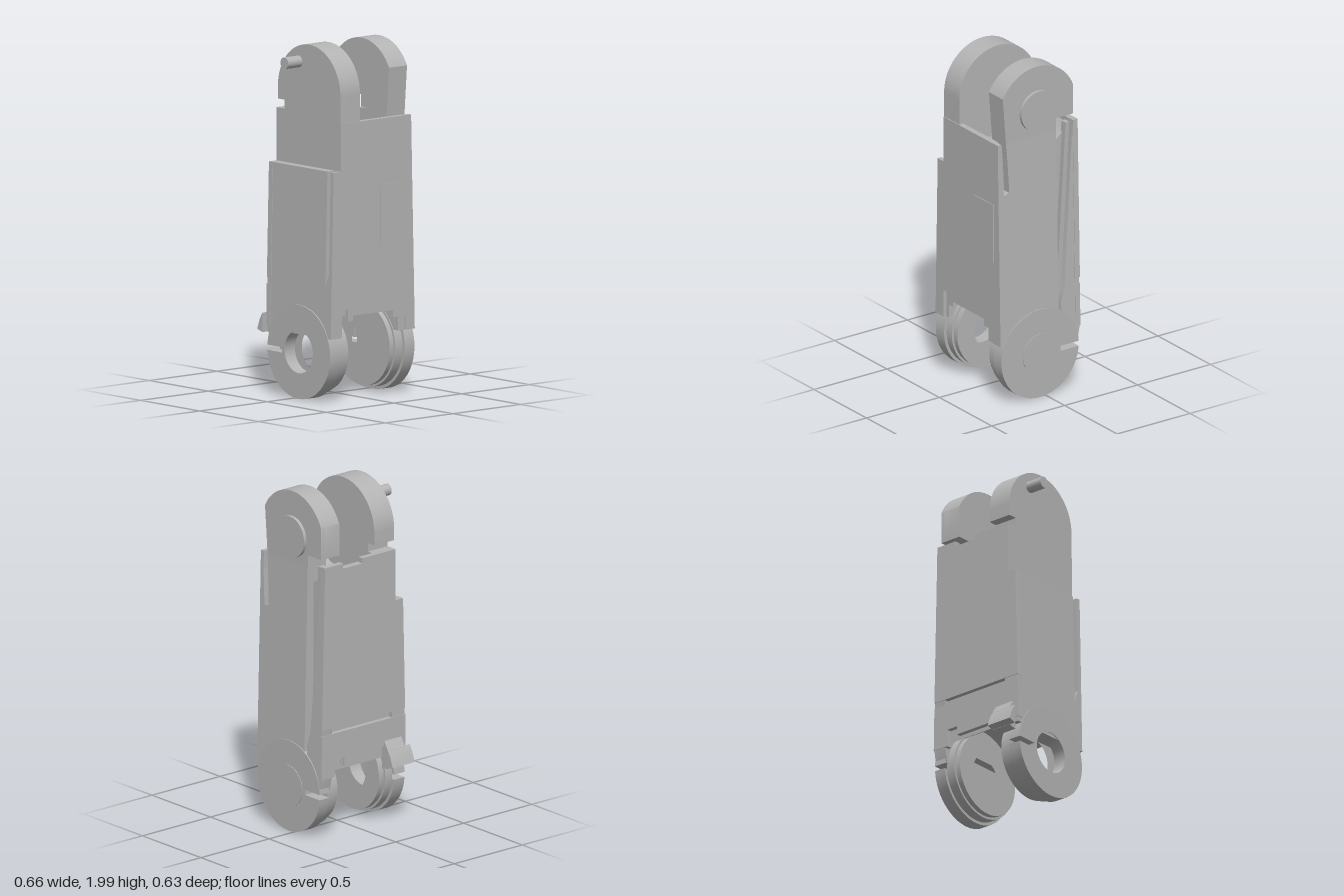
import * as THREE from 'three';
import { toCreasedNormals } from 'three/addons/utils/BufferGeometryUtils.js';

const CZ = 0.04, TOP = 1.73, LOW = 0.27, R = 0.265;   // pivot axes and lug radius

export function createModel() {
  const root = new THREE.Group();
  root.name = 'armLink';
  const grey = new THREE.MeshStandardMaterial({ color: 0xb4b4b4 });
  grey.name = 'plain grey';

  const add = (name, geo) => {
    const mesh = new THREE.Mesh(geo, grey);
    mesh.name = name;
    root.add(mesh);
    return mesh;
  };

  // Points [z, y] on an arc around a pivot, angles in degrees from +z
  const arc = (cy, r, a0, a1, n = 40) => {
    const pts = [];
    for (let i = 0; i <= n; i++) {
      const a = THREE.MathUtils.degToRad(a0 + (a1 - a0) * i / n);
      pts.push([CZ + r * Math.cos(a), cy + r * Math.sin(a)]);
    }
    return pts;
  };

  // Side profile [z, y] extruded from x0 to x1, optionally with a round hole
  const slab = (name, pts, x0, x1, hole, outer) => {
    const shape = new THREE.Shape(pts.map(([z, y]) => new THREE.Vector2(-z, y)));
    if (hole) {
      const ring = arc(hole[0], hole[1], 0, 351, 39);
      shape.holes.push(new THREE.Path(ring.map(([z, y]) => new THREE.Vector2(-z, y))));
    }
    const geo = new THREE.ExtrudeGeometry(shape, { depth: x1 - x0, bevelEnabled: false });
    geo.rotateY(Math.PI / 2).translate(x0, 0, 0);
    // Slope the outer face so the body widens downwards
    if (outer) {
      const p = geo.attributes.position;
      const side = Math.abs(x1) > Math.abs(x0) ? x1 : x0;
      for (let i = 0; i < p.count; i++) {
        if (Math.abs(p.getX(i) - side) < 1e-4) p.setX(i, outer(p.getY(i)));
      }
    }
    return add(name, toCreasedNormals(geo, 0.5));
  };

  // Front outline [x, y] extruded from z0 to z1
  const panel = (name, pts, z0, z1) => {
    const shape = new THREE.Shape(pts.map(([x, y]) => new THREE.Vector2(x, y)));
    const geo = new THREE.ExtrudeGeometry(shape, { depth: z1 - z0, bevelEnabled: false });
    return add(name, toCreasedNormals(geo.translate(0, 0, z0), 0.5));
  };

  const pin = (name, r, x0, x1, y, z) => {
    const geo = new THREE.CylinderGeometry(r, r, x1 - x0, 32);
    return add(name, geo.rotateZ(Math.PI / 2).translate((x0 + x1) / 2, y, z));
  };

  const rightEdge = y => 0.32 - 0.0223 * (y - 0.37);
  const leftEdge = y => -0.30 + 0.0213 * (y - 0.37);

  // Core block with a round saddle at both ends
  slab('core', [
    [0.29, 0.49], [0.29, 1.58], ...arc(TOP, 0.28, -32.4, -147.6),
    [-0.21, 1.58], [-0.21, 0.396], ...arc(LOW, 0.28, 153.2, 51.8),
  ], -0.225, 0.25);

  // Front and back panels
  panel('frontPanel', [
    [-0.225, 1.58], [-0.225, 1.31], [-0.28, 1.31], [-0.30, 0.37], [-0.225, 0.37],
    [-0.225, 0.53], [-0.175, 0.53], [-0.175, 0.46], [-0.135, 0.46], [-0.135, 0.49],
    [0.16, 0.49], [0.16, 0.45], [0.25, 0.45], [0.25, 0.37], [0.32, 0.37], [0.293, 1.58],
  ], 0.285, 0.31);
  panel('frontHatch', [[0.065, 0.86], [0.255, 0.86], [0.255, 1.21], [0.065, 1.21]], 0.305, 0.314);
  panel('backPanel', [
    [-0.225, 1.61], [-0.225, 1.31], [-0.28, 1.31], [-0.295, 0.66], [0.315, 0.66],
    [0.293, 1.61], [0.16, 1.61], [0.16, 1.58], [0.02, 1.58], [0.02, 1.61],
  ], -0.238, -0.205);
  panel('lowerBackPlate', [
    [-0.297, 0.625], [-0.30, 0.40], [-0.2, 0.40], [-0.2, 0.47], [-0.12, 0.47],
    [-0.12, 0.42], [0.15, 0.42], [0.15, 0.47], [0.22, 0.47], [0.22, 0.37],
    [0.32, 0.37], [0.315, 0.625],
  ], -0.238, -0.205);
  panel('saddleTab', [[0.02, 0.43], [0.16, 0.43], [0.16, 0.46], [0.02, 0.46]], -0.22, -0.15);

  // Upper lugs: blind bores opening inwards
  const leftLug = [
    ...arc(TOP, R, 0, 180), [-0.225, 1.66], [-0.17, 1.66], [-0.17, 1.61],
    [-0.225, 1.61], [-0.225, 1.35], [0.305, 1.35],
  ];
  slab('upperLeftLug', leftLug, -0.205, -0.08, [TOP, 0.075]);
  slab('upperLeftLugCap', leftLug, -0.225, -0.205);
  pin('sidePin', 0.033, -0.33, -0.22, 1.89, -0.05);

  const rightLug = [
    ...arc(TOP, R, 27.5, 157.6), [-0.205, 1.65], [-0.09, 1.65], [-0.09, 1.4], [0.24, 1.4],
  ];
  slab('upperRightLug', rightLug, 0.16, 0.27, [TOP, 0.13]);
  slab('upperRightLugCap', rightLug, 0.27, 0.293);
  pin('upperPivotCap', 0.12, 0.285, 0.312, TOP, CZ);

  // Right side: plate with a thin front slot, then a recessed channel and a rear wedge
  slab('rightSidePlate', [
    [0.305, 0.37], [0.305, 1.56], [0.29, 1.56], [0.272, 1.27], [0.235, 1.28],
    [0.252, 1.58], [-0.09, 1.58], [-0.09, 0.37],
  ], 0.2, 0.32, null, rightEdge);
  slab('rightRearWedge', [
    [-0.235, 0.37], [-0.215, 0.28], [-0.11, 0.28], [-0.11, 0.55], [-0.135, 0.62],
    [-0.205, 1.61], [-0.235, 1.61],
  ], 0.24, 0.315, null, y => rightEdge(y) - 0.002);
  slab('diagonalStrut', [
    [-0.10, 0.55], [-0.13, 0.55], [-0.19, 1.6], [-0.165, 1.6],
  ], 0.24, 0.28);

  // Left side plate, stopping short of the front panel
  slab('leftSidePlate', [
    [0.255, 0.37], [0.255, 1.31], [-0.235, 1.31], [-0.235, 0.37],
  ], -0.30, -0.2, null, y => leftEdge(y) + 0.002);
  slab('leftFrontRail', [[0.29, 0.37], [0.29, 0.75], [0.25, 0.65], [0.25, 0.37]],
    -0.30, -0.2, null, y => leftEdge(y) + 0.001);

  // Lower lugs: stepped rings, outer plate slotted at the back
  const slottedLug = [
    ...arc(LOW, R, 177.8, -175.7 + 0.1, 60), [-0.225, 0.25], [-0.1, 0.25], [-0.1, 0.28],
  ];
  const circle = r => arc(LOW, r, 0, 354, 59);
  slab('lowerLeftLug', slottedLug, -0.302, -0.225, [LOW, 0.12]);
  slab('lowerRightLug', slottedLug, 0.25, 0.322);
  pin('lowerPivotCap', 0.12, 0.31, 0.326, LOW, CZ);
  [
    ['lowerLeftStep', 0.248, -0.225, -0.175], ['lowerLeftInnerRing', 0.235, -0.175, -0.14],
    ['lowerRightStep', 0.248, 0.195, 0.25], ['lowerRightInnerRing', 0.235, 0.165, 0.195],
  ].forEach(([name, r, x0, x1]) => slab(name, circle(r), x0, x1, [LOW, 0.12]));

  // Latch lever at the lower back
  slab('latchArm', [[-0.22, 0.5], [-0.24, 0.5], [-0.272, 0.45], [-0.272, 0.345], [-0.22, 0.335]],
    -0.265, -0.14);
  slab('latchTip', [[-0.268, 0.455], [-0.29, 0.42], [-0.312, 0.36], [-0.268, 0.345]],
    -0.302, -0.14);

  return root;
}
